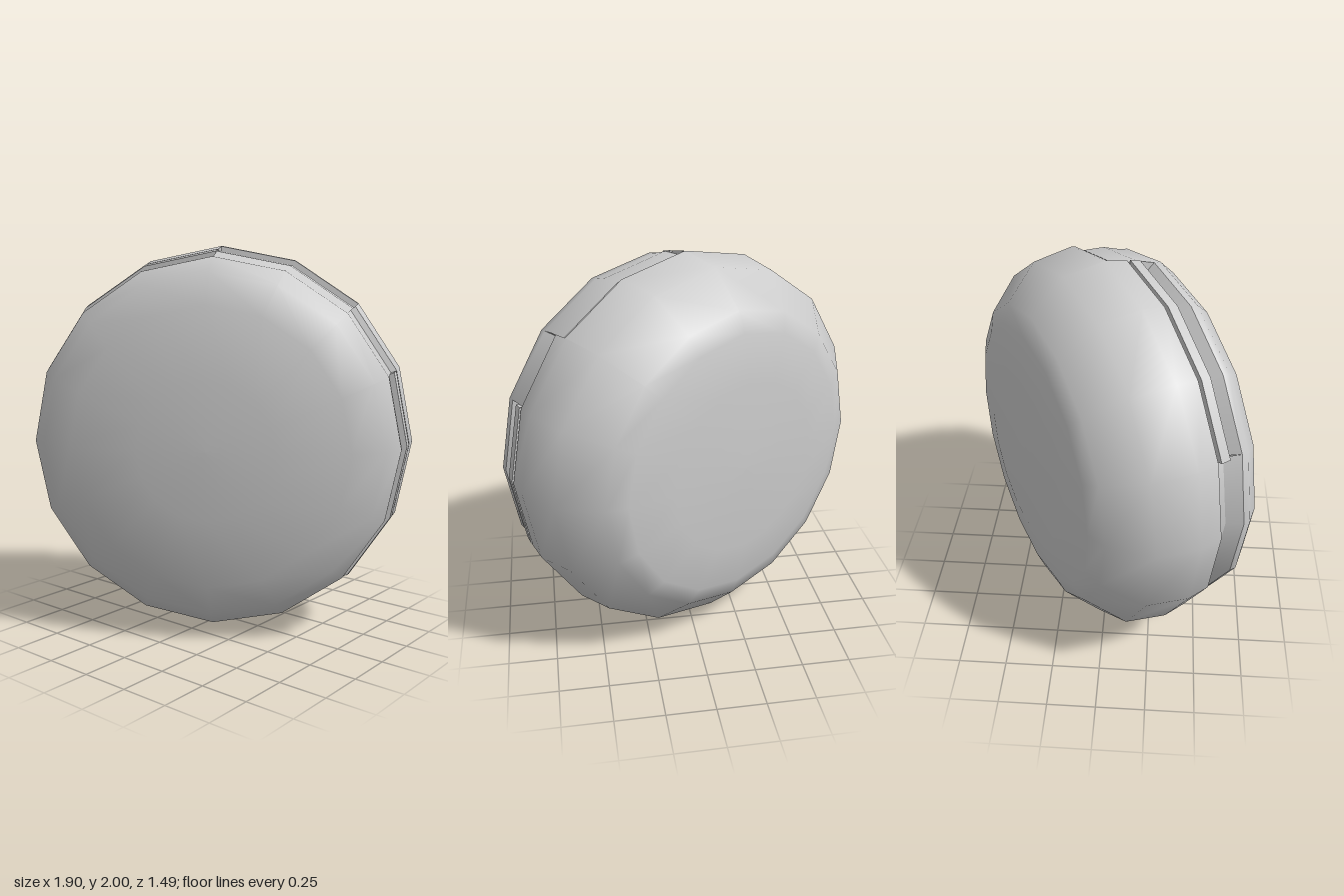
import * as THREE from 'three';

const STEP = Math.PI / 8; // sixteen sides around the axis
const mat = new THREE.MeshStandardMaterial({ color: 0xcccccc, side: THREE.DoubleSide });
const vecs = pts => pts.map(([r, n]) => new THREE.Vector2(r, n));

// Revolve a profile [radius, height] over `count` sides, starting at side `first`
function revolve(name, pts, first, count) {
  const geo = new THREE.LatheGeometry(vecs(pts), count, (first + 4) * STEP, count * STEP);
  const mesh = new THREE.Mesh(geo, mat);
  mesh.name = name;
  return mesh;
}

// Flat radial wall that closes the end of a revolved section
function endWall(name, pts, side) {
  const mesh = new THREE.Mesh(new THREE.ShapeGeometry(new THREE.Shape(vecs(pts))), mat);
  mesh.rotation.y = side * STEP;
  mesh.name = name;
  return mesh;
}

export function createModel() {
  const body = new THREE.Group();
  body.name = 'caseBody';
  body.rotation.x = Math.PI / 2; // revolve axis points forward

  const back = [[0, -0.492], [0.45, -0.487], [0.69, -0.448], [0.79, -0.408], [0.962, -0.235], [1, -0.02]];
  const front = [[0.935, 0.28], [0.862, 0.355], [0.7, 0.433], [0.345, 0.491], [0, 0.495]];
  const rim = [0.98, 0.095], lip = [0.938, 0.245];

  // Shells with the open groove between them: all sides but the tab
  body.add(
    revolve('backShell', [...back, rim], 4, 14),
    revolve('frontShell', [lip, ...front], 4, 14),
  );

  // Groove: deep beside the strips, shallow elsewhere
  for (const [first, count, r] of [[4, 3, 0.87], [7, 7, 0.895], [14, 3, 0.87]]) {
    body.add(
      revolve('grooveBackWall', [rim, [r, 0.125]], first, count),
      revolve('grooveFloor', [[r, 0.125], [r, 0.17]], first, count),
      revolve('grooveFrontWall', [[r, 0.17], lip], first, count),
    );
  }

  // Short sloped filler between the tab and the right strip
  body.add(
    revolve('fillerStep', [rim, [0.95, 0.105]], 1, 1),
    revolve('fillerSlope', [[0.95, 0.105], lip], 1, 1),
    endWall('fillerEnd', [[0.87, 0.125], [0.95, 0.105], lip, [0.87, 0.17]], 1),
  );

  // Top: the front shell's tab fills a notch in the back shell
  body.add(
    revolve('notchedBackShell', [...back, [0.997, -0.005]], 2, 2),
    revolve('notchLedge', [[0.997, -0.005], [0.91, 0.005]], 2, 2),
    revolve('notchFloor', [[0.91, 0.005], [0.91, 0.035]], 2, 2),
    revolve('tabLip', [[0.91, 0.035], [0.97, 0.04]], 2, 2),
    revolve('tabShell', [[0.97, 0.04], [0.966, 0.15], lip, ...front], 2, 2),
  );
  for (const side of [2, 4]) {
    body.add(
      endWall('notchEnd', [[0.87, -0.005], [0.997, -0.005], rim, [0.87, 0.125]], side),
      endWall('tabEnd', [[0.87, 0.04], [0.97, 0.04], [0.966, 0.15], lip, [0.87, 0.17]], side),
    );
  }

  // Raised strips running in the groove
  const a = [0.86, 0.113], b = [0.978, 0.113], c = [0.966, 0.166], d = [0.86, 0.166];
  for (const first of [-2, 4]) {
    body.add(
      revolve('stripBack', [a, b], first, 3),
      revolve('stripRim', [b, c], first, 3),
      revolve('stripFront', [c, d], first, 3),
      endWall('stripEnd', [a, b, c, d], first),
      endWall('stripEnd', [a, b, c, d], first + 3),
    );
  }

  // Turn the standing case to the side
  const turned = new THREE.Group();
  turned.name = 'roundCase';
  turned.rotation.y = Math.PI / 6;
  turned.position.y = 1;
  turned.add(body);

  const model = new THREE.Group();
  model.name = 'model';
  model.add(turned);
  return model;
}
